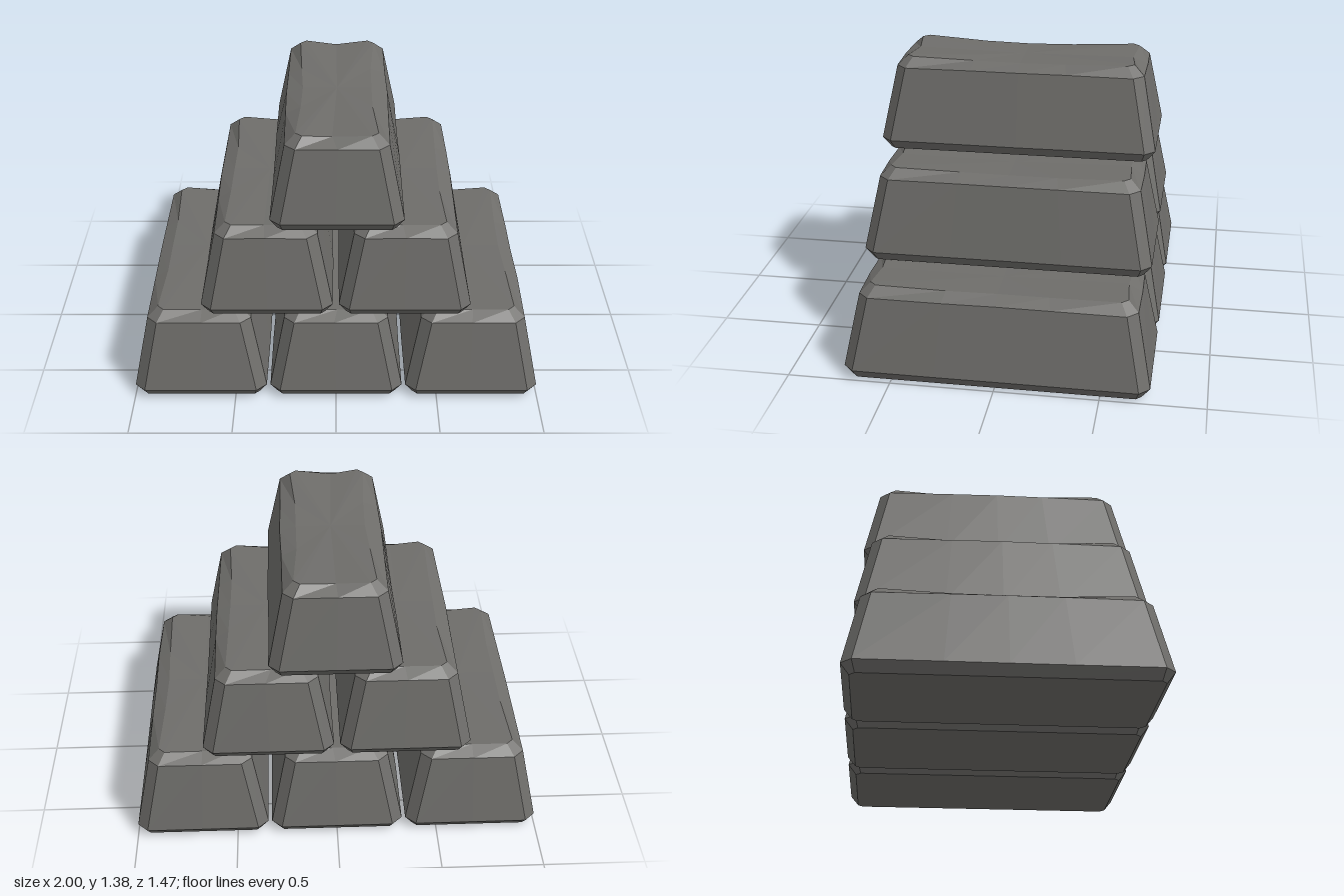
import * as THREE from 'three';

// small seeded generator for the worn edges
function seeded(seed) {
  let s = seed * 7919 + 17;
  return () => ((s = (s * 16807) % 2147483647) / 2147483647) * 2 - 1;
}

// outline of one level: rectangle with cut corners, wear points along the sides
// points run +x side, back, -x side, front
function ring(y, hx, hz, cut, sag, wear, rand) {
  const points = [];
  for (const s of [1, -1]) {
    for (const t of [1, 0.42, 0, -0.42, -1]) {
      const mid = 1 - Math.abs(t);
      const corner = mid === 0;
      const drop = corner ? 0 : sag * (0.6 + 0.4 * mid);
      points.push([
        s * (hx - drop * 1.3 + (corner ? 0 : rand() * wear)),
        y - drop,
        s * t * (hz - cut),
      ]);
    }
    points.push([s * (hx - cut), y, -s * hz]);
    points.push([rand() * wear * 4, y - sag * 0.8, -s * (hz - sag * 1.2)]);
    points.push([-s * (hx - cut), y, -s * hz]);
  }
  return points;
}

// tapered ingot with bevelled edges and a slightly hollow top
function ingotGeometry(halfWidth, halfLength, sag, seed) {
  const rand = seeded(seed);
  const w = halfWidth, l = halfLength;
  const rings = [
    ring(0, w - 0.035, l - 0.04, 0.025, 0, 0, rand),
    ring(0.05, w, l, 0.05, 0, 0.003, rand),
    ring(0.407, w - 0.073, l - 0.07, 0.05, -0.003, 0.003, rand),
    ring(0.453, w - 0.125, l - 0.12, 0.03, sag, 0.006, rand),
  ];
  const n = rings[0].length;
  const out = [];
  const tri = (a, b, c) => out.push(...a, ...b, ...c);
  const topCentre = [0, 0.453 - sag, 0];
  for (let i = 0; i < n; i++) {
    const j = (i + 1) % n;
    for (let k = 0; k < rings.length - 1; k++) {
      const lo = rings[k], hi = rings[k + 1];
      tri(lo[i], lo[j], hi[j]);
      tri(lo[i], hi[j], hi[i]);
    }
    tri(topCentre, rings[3][i], rings[3][j]);
    tri([0, 0, 0], rings[0][j], rings[0][i]);
  }
  // unshared corners give flat facets
  const geometry = new THREE.BufferGeometry();
  geometry.setAttribute('position', new THREE.Float32BufferAttribute(out, 3));
  geometry.computeVertexNormals();
  return geometry;
}

export function createModel() {
  const model = new THREE.Group();
  model.name = 'ingotStack';
  const metal = new THREE.MeshStandardMaterial({ color: 0x6e6d6a });
  metal.name = 'darkGreyMetal';

  // layers from the ground up
  const layers = [
    { name: 'bottomIngot', y: 0, xs: [-0.672, 0, 0.672], w: 0.327, l: 0.733, sag: 0.01 },
    { name: 'middleIngot', y: 0.462, xs: [-0.335, 0.333], w: 0.319, l: 0.702, sag: 0.011 },
    { name: 'topIngot', y: 0.922, xs: [0.005], w: 0.317, l: 0.68, sag: 0.016 },
  ];
  let seed = 1;
  for (const layer of layers) {
    layer.xs.forEach((x, i) => {
      const ingot = new THREE.Mesh(ingotGeometry(layer.w, layer.l, layer.sag, seed++), metal);
      ingot.name = layer.name + (i + 1);
      ingot.position.set(x, layer.y, 0);
      model.add(ingot);
    });
  }
  return model;
}
